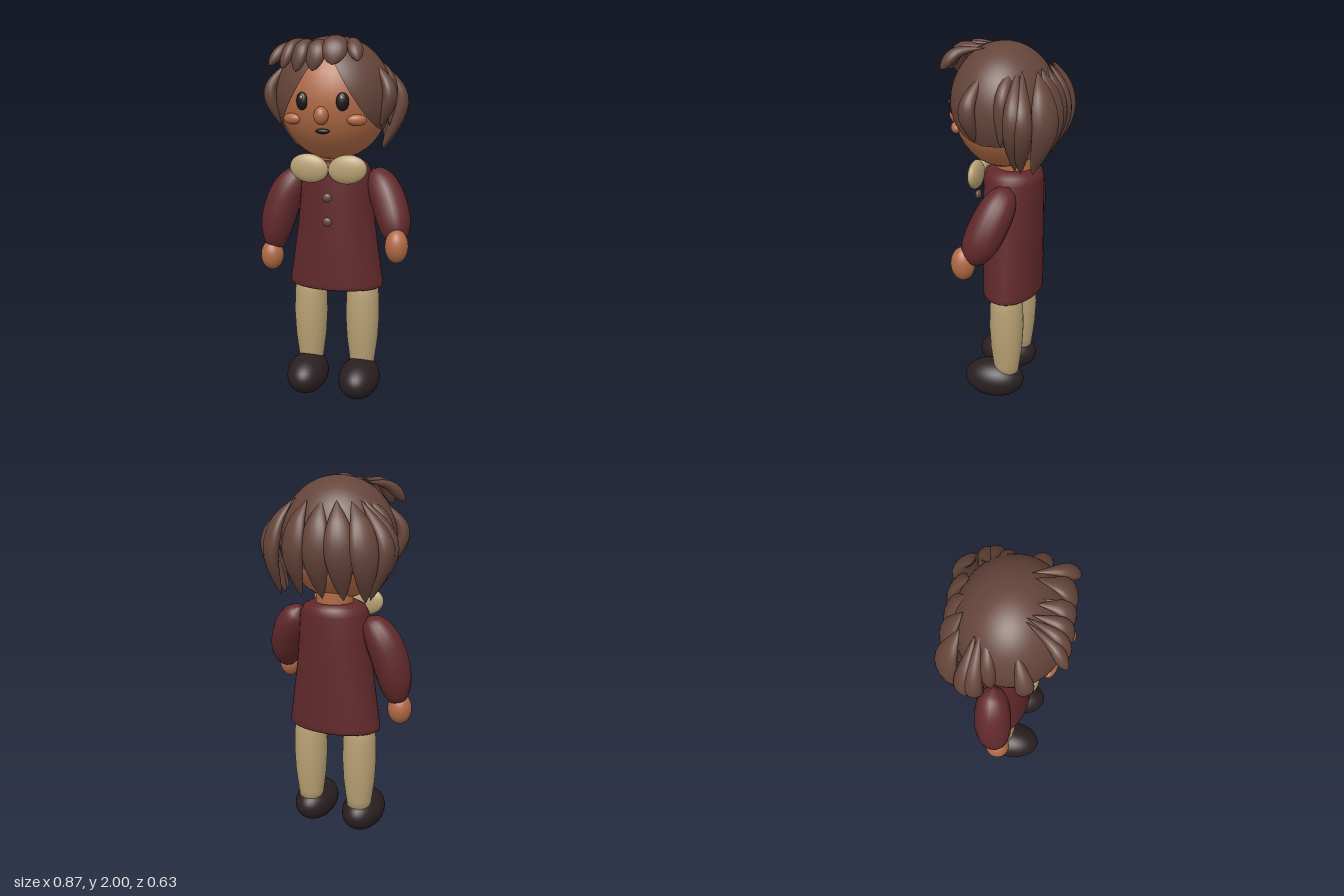
import * as THREE from 'three';

const mat = (name, color, side = THREE.FrontSide) => {
  const m = new THREE.MeshStandardMaterial({ color, side });
  m.name = name;
  return m;
};

// Surface through rows of points; closed wraps each row into a ring
function surface(rows, cols, closed, f) {
  const pos = [], index = [];
  const n = closed ? cols : cols + 1;
  for (let i = 0; i <= rows; i++)
    for (let j = 0; j < n; j++) pos.push(...f(i / rows, j / cols));
  for (let i = 0; i < rows; i++)
    for (let j = 0; j < cols; j++) {
      const k = (j + 1) % n;
      const a = i * n + j, b = i * n + k, c = (i + 1) * n + k, d = (i + 1) * n + j;
      index.push(a, b, d, b, c, d);
    }
  const g = new THREE.BufferGeometry();
  g.setAttribute('position', new THREE.Float32BufferAttribute(pos, 3));
  g.setIndex(index);
  g.computeVertexNormals();
  return g;
}

// Elliptical sweep along a curve, its thin side facing away from a centre
function sweep(points, width, thick, profile, centre) {
  const curve = new THREE.CatmullRomCurve3(points.map(p => new THREE.Vector3(...p)));
  return surface(20, 16, true, (t, v) => {
    const p = curve.getPoint(t), T = curve.getTangent(t);
    const out = p.clone().sub(centre);
    out.addScaledVector(T, -out.dot(T)).normalize();
    const side = out.clone().cross(T);
    const r = Math.max(profile(t), 0.001), a = v * Math.PI * 2;
    p.addScaledVector(side, Math.cos(a) * width * r).addScaledVector(out, Math.sin(a) * thick * r);
    return p.toArray();
  });
}

const lockProfile = t => Math.pow(Math.max(0, Math.sin(Math.PI * Math.pow(t, 1.2))), 0.8);
const fringeProfile = t => Math.pow(Math.max(0, Math.sin(Math.PI * Math.pow(t, 1.7))), 0.65);
const sleeveProfile = t => Math.sqrt(Math.max(0, 1 - Math.pow(Math.abs(2 * t - 1), 2.6)));

export function createModel() {
  const model = new THREE.Group();
  model.name = 'doll';
  const skin = mat('skin', 0xb06a45);
  const hair = mat('hair', 0x65453a, THREE.DoubleSide);
  const dress = mat('dress', 0x61292b);
  const cream = mat('cream', 0xb8a174);
  const shoe = mat('shoe', 0x2a1f21);
  const dark = mat('dark', 0x1d1819);

  const add = (name, geometry, material) => {
    const m = new THREE.Mesh(geometry, material);
    m.name = name;
    model.add(m);
    return m;
  };
  const ball = (name, material, at, radii) => {
    const m = add(name, new THREE.SphereGeometry(1, 32, 20), material);
    m.position.set(...at);
    m.scale.set(...radii);
    return m;
  };

  // Dress: stacked ellipses [y, half width, half depth]
  const rows = [
    [0.642, 0, 0], [0.642, 0.255, 0.152], [0.648, 0.264, 0.16], [0.67, 0.264, 0.16],
    [0.85, 0.237, 0.16], [1.0, 0.216, 0.16], [1.15, 0.202, 0.16], [1.29, 0.19, 0.16],
    [1.33, 0.168, 0.152], [1.35, 0.125, 0.118], [1.35, 0, 0],
  ];
  add('dressBody', surface(rows.length - 1, 48, true, (u, v) => {
    const [y, rx, rz] = rows[Math.round(u * (rows.length - 1))], a = v * Math.PI * 2;
    return [0.003 + rx * Math.sin(a), y, -0.042 + rz * Math.cos(a)];
  }), dress);

  // Legs and shoes
  const legProfile = [[0.001, 0.12], [0.062, 0.13], [0.074, 0.22], [0.088, 0.33], [0.095, 0.46],
    [0.092, 0.58], [0.084, 0.66], [0.06, 0.72], [0.001, 0.74]].map(p => new THREE.Vector2(...p));
  for (const s of [-1, 1]) {
    const x = s * 0.151 + 0.003;
    add('leg', new THREE.LatheGeometry(legProfile, 32), cream).position.set(x, 0, -0.043);
    ball('shoe', shoe, [x, 0.113, 0.03], [0.115, 0.11, 0.172]);
  }

  // Sleeves and hands
  const armCentre = new THREE.Vector3(0, 1.05, -0.04);
  add('rightSleeve', sweep([[-0.2, 1.29, -0.06], [-0.285, 1.15, -0.052], [-0.336, 1.0, -0.042], [-0.364, 0.81, -0.03]],
    0.098, 0.099, sleeveProfile, armCentre), dress);
  add('leftSleeve', sweep([[0.2, 1.3, -0.07], [0.28, 1.18, -0.02], [0.335, 1.05, 0.035], [0.365, 0.92, 0.1]],
    0.1, 0.094, sleeveProfile, armCentre), dress);
  ball('rightHand', skin, [-0.37, 0.787, -0.018], [0.065, 0.085, 0.065]);
  ball('leftHand', skin, [0.37, 0.923, 0.128], [0.062, 0.09, 0.064]);

  // Neck, collar and buttons
  const neck = add('neck', new THREE.CylinderGeometry(0.1, 0.1, 0.16, 32), skin);
  neck.position.set(0, 1.41, -0.05);
  for (const s of [-1, 1])
    ball('collar', cream, [s * 0.104 + 0.002, 1.32, 0.136], [0.105, 0.077, 0.035]).rotation.z = s * 0.12;
  for (const y of [1.17, 1.04]) ball('button', hair, [0.002, y, 0.16], [0.027, 0.025, 0.017]);

  // Head and face
  ball('head', skin, [0.002, 1.672, 0.005], [0.295, 0.317, 0.268]);
  ball('nose', skin, [0.003, 1.608, 0.274], [0.037, 0.046, 0.038]);
  ball('mouth', dark, [0.003, 1.528, 0.247], [0.037, 0.013, 0.018]);
  for (const s of [-1, 1]) {
    ball('eye', dark, [s * 0.104 + 0.003, 1.677, 0.25], [0.033, 0.046, 0.025]).rotation.y = s * 0.35;
    ball('eyeGlint', cream, [s * 0.104 + 0.004, 1.697, 0.272], [0.008, 0.009, 0.006]);
    ball('cheek', skin, [s * 0.17 + 0.004, 1.585, 0.217], [0.051, 0.029, 0.026]).rotation.y = s * 0.35;
  }

  // Hair cap, parted in front into a widening opening for the face
  const lowest = Math.acos((1.525 - 1.685) / 0.315);
  add('hairCap', surface(28, 56, false, (u, v) => {
    const theta = lowest * (1 - u), y = 1.685 + 0.315 * Math.cos(theta);
    const r = Math.max(Math.sin(theta), 1e-4);
    const edge = Math.asin(Math.min(0.985, Math.max(0, (1.96 - y) * 0.6) / (0.31 * r)));
    const phi = edge + v * (Math.PI * 2 - edge * 2);
    return [0.002 + 0.31 * r * Math.sin(phi), y, 0.01 + 0.278 * r * Math.cos(phi)];
  }), hair);

  const headCentre = new THREE.Vector3(0, 1.68, 0);
  const lock = (name, points, w, t, profile = lockProfile) =>
    add(name, sweep(points, w, t, profile, headCentre), hair);

  // Locks in a nearly straight row across the back
  for (let k = -2; k <= 2; k++) {
    const q = k * k * 0.004;
    lock('backLock', [[k * 0.08, 1.89, -0.2], [k * 0.115, 1.77, -0.262 + q],
      [k * 0.13, 1.61, -0.278 + q], [k * 0.12, 1.39, -0.2]], 0.075, 0.038);
  }

  // Locks at the sides
  for (const s of [-1, 1]) {
    const side = (name, points, w, t) => lock(name, points.map(([x, y, z]) => [s * x, y, z]), w, t);
    side('templeLock', [[0.22, 1.88, 0.055], [0.318, 1.72, 0.11], [0.27, 1.54, 0.09]], 0.045, 0.035);
    side('earLock', [[0.12, 1.935, -0.085], [0.285, 1.78, -0.06], [0.29, 1.53, -0.05]], 0.036, 0.03);
    side('sideLock', [[0.17, 1.91, -0.105], [0.335, 1.68, -0.125], [0.24, 1.4, -0.11]], 0.05, 0.042);
    side('rearSideLock', [[0.18, 1.89, -0.13], [0.325, 1.67, -0.165], [0.24, 1.39, -0.14]], 0.052, 0.045);
  }

  // Fringe: [root, middle, tip, half width]
  const fringe = [
    [[-0.11, 1.965, 0.075], [-0.2, 1.935, 0.215], [-0.262, 1.85, 0.285], 0.032],
    [[-0.1, 1.975, 0.08], [-0.155, 1.95, 0.22], [-0.195, 1.835, 0.285], 0.036],
    [[-0.085, 1.975, 0.1], [-0.1, 1.945, 0.235], [-0.125, 1.82, 0.282], 0.044],
    [[-0.03, 1.975, 0.11], [-0.025, 1.945, 0.235], [-0.04, 1.825, 0.28], 0.052],
    [[0.085, 1.985, 0.09], [0.07, 1.965, 0.22], [0.06, 1.855, 0.285], 0.064],
    [[0.11, 1.98, 0.07], [0.155, 1.955, 0.21], [0.19, 1.875, 0.285], 0.04],
  ];
  for (const [a, b, c, w] of fringe) lock('fringeLock', [a, b, c], w, 0.03, fringeProfile);

  return model;
}
